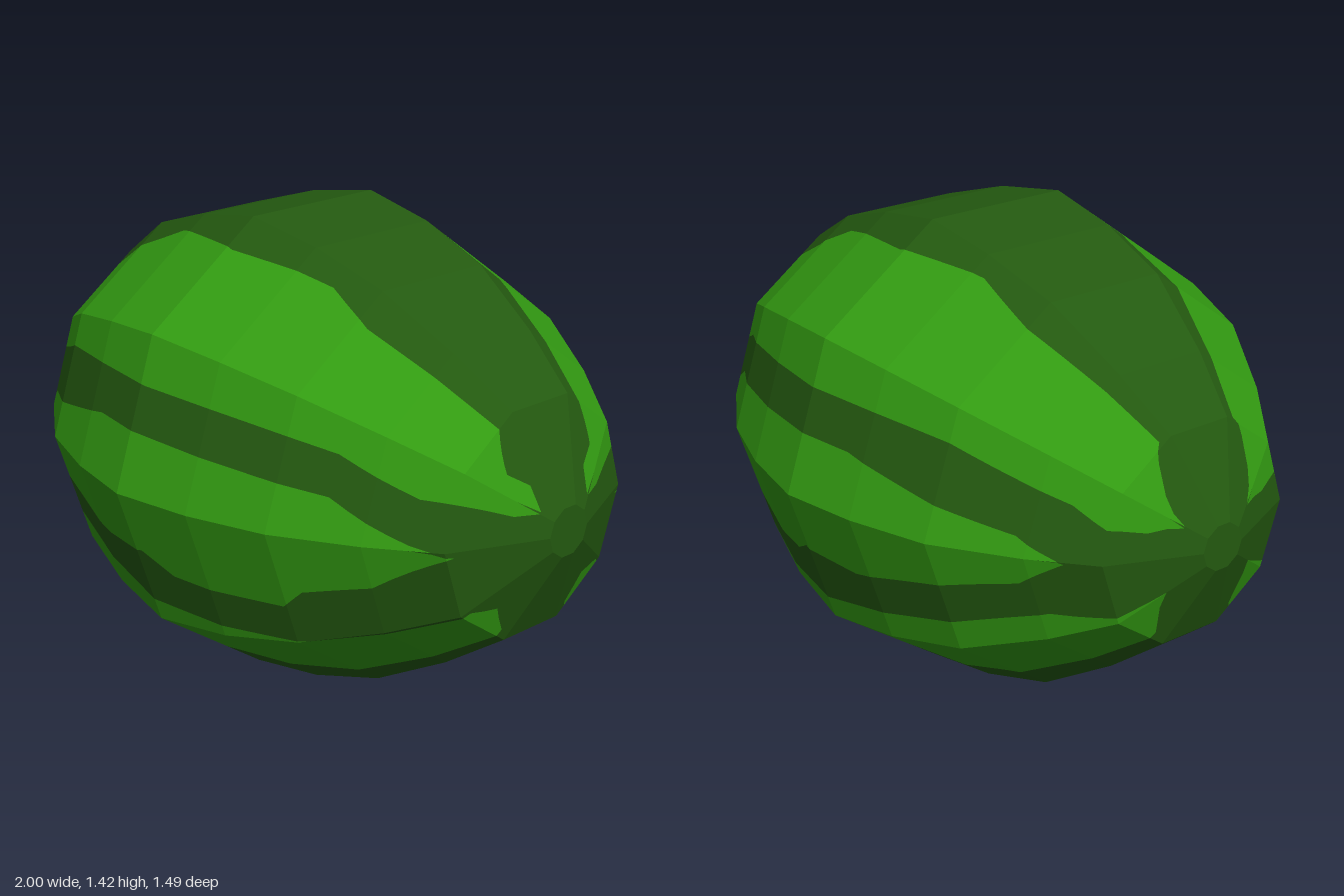
import * as THREE from 'three';

const CENTRE_Y = 0.709;
const STEP = Math.PI / 5; // ten-sided body

// Body profile: [x, corner radius]
const PROFILE = [[-1, 0.07], [-0.89, 0.328], [-0.73, 0.465], [-0.5, 0.62], [-0.26, 0.7], [-0.02, 0.745],
  [0.23, 0.7], [0.47, 0.62], [0.7, 0.485], [0.88, 0.352], [1, 0.075]];

// Each stripe runs between two tips [x, degrees above the horizontal],
// with a few points along its lower and upper border
const STRIPES = [
  {
    tips: [[-0.95, -36], [0.91, -50]],
    lower: [[-0.9, -62], [-0.45, -61], [-0.2, -64], [0, -60], [0.89, -66]],
    upper: [[-0.75, -25], [0, -30.6], [0.5, -36], [0.89, -38]],
  },
  {
    tips: [[-0.81, -1], [0.89, -3]],
    lower: [[-0.7, -11], [-0.2, -18], [0, -15.5], [0.1, -21], [0.46, -24], [0.52, -19], [0.7, -17]],
    upper: [[-0.7, 7], [-0.2, 14.6], [0.6, 13], [0.7, 7.5]],
  },
  {
    tips: [[-0.97, 34], [0.98, 39]],
    lower: [[-0.93, 20], [-0.88, 17], [-0.8, 23], [-0.5, 27], [0, 25], [0.6, 26], [0.8, 20], [0.95, 24]],
    upper: [[-0.88, 66], [-0.5, 63], [-0.3, 67], [0, 62.6], [0.35, 66], [0.5, 61.5], [0.88, 62], [0.92, 48], [0.95, 54]],
  },
];

function sample(table, x) {
  if (x <= table[0][0]) return table[0][1];
  for (let i = 1; i < table.length; i++) {
    const [x0, v0] = table[i - 1], [x1, v1] = table[i];
    if (x <= x1) return v0 + (v1 - v0) * (x - x0) / (x1 - x0);
  }
  return table[table.length - 1][1];
}

// Point on the ten-sided section at x, in direction a
function surfacePoint(x, a) {
  const local = a - Math.floor(a / STEP) * STEP - STEP / 2;
  const r = sample(PROFILE, x) * Math.cos(STEP / 2) / Math.cos(local);
  return [x, CENTRE_Y + r * Math.sin(a), r * Math.cos(a)];
}

// Strip of skin between two borders, cut at every facet edge
function stripGeometry(lo, hi, xs) {
  const pos = [];
  for (let i = 0; i < xs.length - 1; i++) {
    const x0 = xs[i], x1 = xs[i + 1];
    for (let k = -3; k < 8; k++) {
      const clip = (a) => Math.min(Math.max(a, k * STEP), (k + 1) * STEP);
      const a0 = clip(lo(x0)), b0 = clip(hi(x0)), a1 = clip(lo(x1)), b1 = clip(hi(x1));
      const A = surfacePoint(x0, a0), B = surfacePoint(x1, a1);
      const C = surfacePoint(x1, b1), D = surfacePoint(x0, b0);
      if (b1 - a1 > 1e-5) pos.push(...A, ...B, ...C);
      if (b0 - a0 > 1e-5) pos.push(...A, ...C, ...D);
    }
  }
  const g = new THREE.BufferGeometry();
  g.setAttribute('position', new THREE.Float32BufferAttribute(pos, 3));
  g.computeVertexNormals(); // unshared corners give flat facets
  return g;
}

export function createModel() {
  const group = new THREE.Group();
  group.name = 'watermelon';
  const dark = new THREE.MeshStandardMaterial({ color: 0x245a10 });
  dark.name = 'dark green rind';
  const light = new THREE.MeshStandardMaterial({ color: 0x339c12 });
  light.name = 'light green stripe';

  const add = (geometry, material, name) => {
    const mesh = new THREE.Mesh(geometry, material);
    mesh.name = name;
    group.add(mesh);
    return mesh;
  };

  // Stripe borders from bottom to top, each running from tip to tip
  const borders = STRIPES.flatMap(({ tips, lower, upper }) =>
    [lower, upper].map((line) => [tips[0], ...line, tips[1]]));

  // Cut positions along the length
  const cuts = [...PROFILE, ...borders.flat()].map((p) => p[0]);
  for (let i = -19; i < 20; i++) cuts.push(i * 0.05);
  const xs = [...new Set(cuts.map((x) => +x.toFixed(3)))].sort((a, b) => a - b);

  // Alternating rind and stripes, front half mirrored to the back
  const rad = Math.PI / 180;
  const edges = [() => -90 * rad, ...borders.map((t) => (x) => sample(t, x) * rad), () => 90 * rad];
  for (let i = 0; i < edges.length - 1; i++) {
    const lo = edges[i], hi = edges[i + 1];
    const material = i % 2 ? light : dark;
    const part = i % 2 ? 'Stripe' : 'Rind';
    add(stripGeometry(lo, hi, xs), material, `front${part}${i}`);
    add(stripGeometry((x) => Math.PI - hi(x), (x) => Math.PI - lo(x), xs), material, `back${part}${i}`);
  }

  // Small flat ends
  for (const side of [-1, 1]) {
    const end = add(new THREE.CircleGeometry(side < 0 ? 0.07 : 0.075, 10), dark, side < 0 ? 'rightEnd' : 'leftEnd');
    end.rotation.y = side * Math.PI / 2;
    end.position.set(side, CENTRE_Y, 0);
  }
  return group;
}
